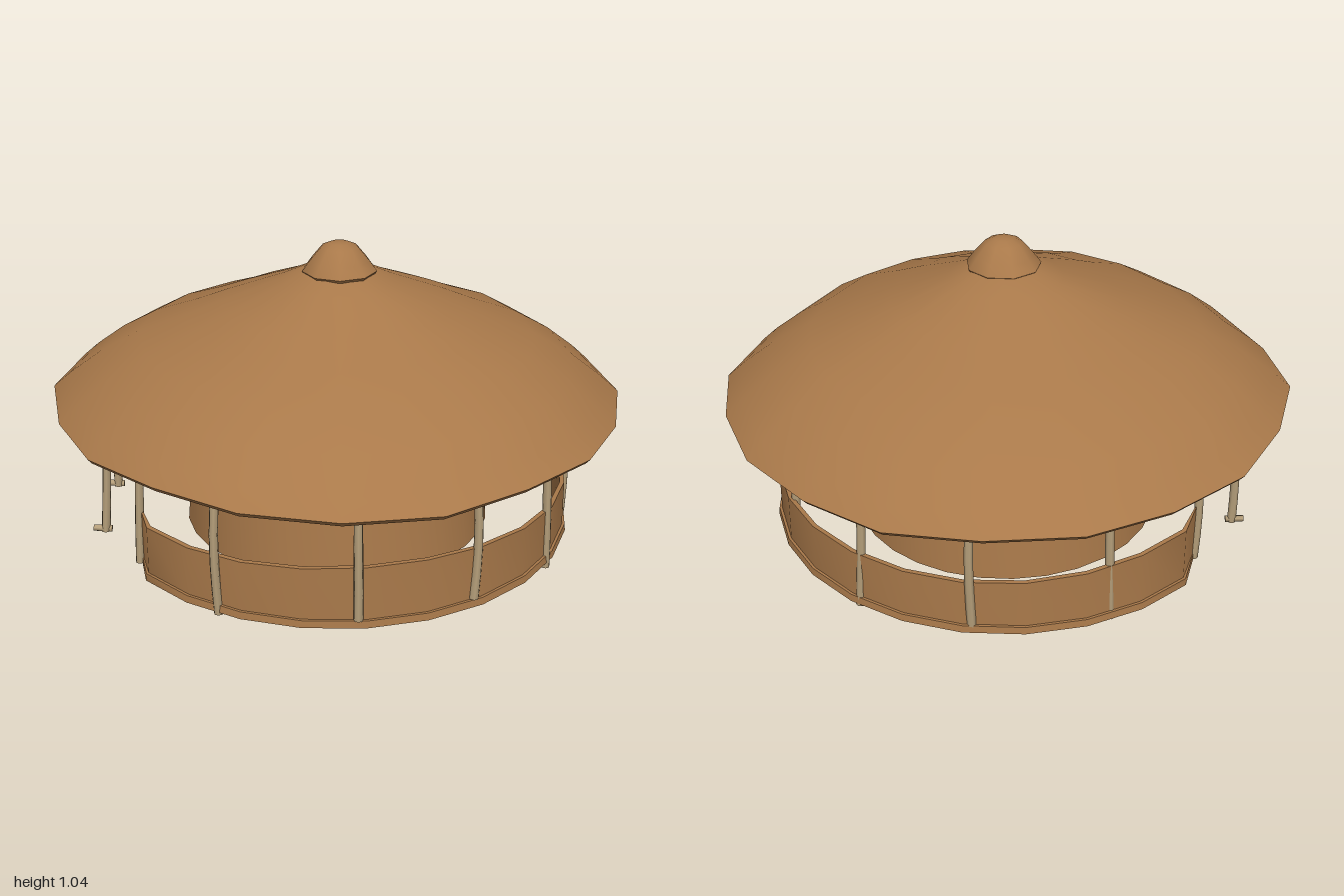
import * as THREE from 'three';
import { toCreasedNormals } from 'three/addons/utils/BufferGeometryUtils.js';

const thatch = new THREE.MeshStandardMaterial({ color: 0xa9794a, side: THREE.DoubleSide });
thatch.name = 'brown thatch and clay';
const wood = new THREE.MeshStandardMaterial({ color: 0xb39d79 });
wood.name = 'pale wood';

// Turn a profile of [radius, height] pairs, optionally only part way round
function turn(profile, segments, start = 0, length = Math.PI * 2) {
  const points = profile.map(([r, y]) => new THREE.Vector2(r, y));
  return new THREE.LatheGeometry(points, segments, start, length);
}

// Move every vertex by a rule
function reshape(geometry, rule) {
  const p = geometry.attributes.position;
  const v = new THREE.Vector3();
  for (let i = 0; i < p.count; i++) {
    v.fromBufferAttribute(p, i);
    rule(v);
    p.setXYZ(i, v.x, v.y, v.z);
  }
  return geometry;
}

function part(name, geometry, material, parent, crease = 0.7) {
  const mesh = new THREE.Mesh(toCreasedNormals(geometry, crease), material);
  mesh.name = name;
  parent.add(mesh);
  return mesh;
}

// Closed wall section between two heights with a leaning face
function wallProfile(r0, y0, r1, y1, t) {
  return [[r0 - t, y0], [r0, y0], [r1, y1], [r1 - t, y1], [r0 - t, y0]];
}

export function createModel() {
  const hut = new THREE.Group();
  hut.name = 'roundHut';

  // Sagging thatched roof: underside outwards, round the rim, up to the top
  const roof = turn([
    [0, 0.92], [0.12, 0.91], [0.4, 0.8], [0.68, 0.675], [0.84, 0.58], [0.96, 0.485],
    [0.985, 0.48], [1, 0.497], [0.94, 0.55], [0.83, 0.632], [0.69, 0.712],
    [0.53, 0.772], [0.4, 0.828], [0.2, 0.906], [0.12, 0.943], [0, 0.955],
  ], 20);
  reshape(roof, (v) => {
    const r = Math.hypot(v.x, v.z);
    const a = Math.atan2(v.z, v.x);
    const s = 1 - 0.016 * r * (1 - Math.cos(4 * a)) * 0.5 - 0.006 * r * (1 - Math.cos(10 * a));
    v.x *= s;
    v.z *= s;
    v.y -= 0.012 * v.x * r + 0.007 * r * Math.sin(5 * a + 0.6);
  });
  part('roof', roof, thatch, hut, 0.9);

  // Small cap on the peak
  const cap = part('roofCap', turn([
    [0, 0.935], [0.122, 0.935], [0.13, 0.946], [0.105, 0.98], [0.065, 1.027], [0.035, 1.041], [0, 1.044],
  ], 9), thatch, hut, 0.8);
  cap.position.set(0.008, 0, 0.015);

  // Round room: a lower wall with the doorway on -x, and a full ring above it
  const west = -Math.PI / 2;
  const door = 0.19;
  const room = new THREE.Group();
  room.name = 'room';
  hut.add(room);
  part('lowerRoomWall', turn(wallProfile(0.545, 0.035, 0.515, 0.38, 0.018), 28,
    west + door, Math.PI * 2 - door * 2), thatch, room);
  part('upperRoomWall', turn(wallProfile(0.515, 0.38, 0.475, 0.775, 0.018), 28), thatch, room);

  // Low veranda wall with a wide entrance on -x, flattened at its ends
  const gap = 0.44;
  const flatten = (v) => {
    v.x = Math.max(v.x, -0.68);
    if (v.y > 0.2) v.y += 0.012 * Math.sin(3.1 * v.x - 2.2 * v.z + 2.6);
  };
  const arc = (profile) => reshape(turn(profile, 22, west + gap, Math.PI * 2 - gap * 2), flatten);
  part('verandaWall', arc(wallProfile(0.82, 0.035, 0.818, 0.23, 0.016)), thatch, hut);
  part('verandaBase', arc(wallProfile(0.832, 0.03, 0.829, 0.055, 0.02)), thatch, hut);

  // Slightly bent posts: x, z and height of the foot
  const posts = new THREE.Group();
  posts.name = 'verandaPosts';
  hut.add(posts);
  const feet = [
    [0.82, 0.02, 0.015], [0.705, 0.415, 0.008], [0.705, -0.39, 0.008],
    [0.43, 0.7, 0.06], [0.43, -0.69, 0.02], [0.055, 0.825, 0.06], [0.05, -0.81, 0.03],
    [-0.39, 0.715, 0.02], [-0.39, -0.7, 0.02], [-0.675, 0.41, 0.035], [-0.675, -0.37, 0.035],
    [-0.82, 0.2, 0.04], [-0.82, -0.15, 0.04],
  ];
  feet.forEach(([x, z, y0], i) => {
    const top = 0.59;
    const post = new THREE.CylinderGeometry(0.014, 0.016, top - y0, 7, 6);
    post.translate(0, (top + y0) / 2, 0);
    const bend = 0.012 * Math.sin(i * 2.3 + 1);
    reshape(post, (v) => {
      const t = (v.y - y0) / (top - y0);
      const lean = 1 - 0.035 * t * t;
      v.x += x * lean + bend * Math.sin(Math.PI * t);
      v.z += z * lean - bend * Math.sin(Math.PI * t) * 0.6;
    });
    part('post', post, wood, posts, 1.1);
  });

  // Short pegs at the feet of the two entrance posts
  for (const z of [0.2, -0.15]) {
    const peg = part('entrancePeg', new THREE.CylinderGeometry(0.012, 0.013, 0.065, 6), wood, posts, 1.1);
    peg.rotation.set(0.5, 0, 1.5);
    peg.position.set(-0.83, 0.05, z);
  }

  return hut;
}
